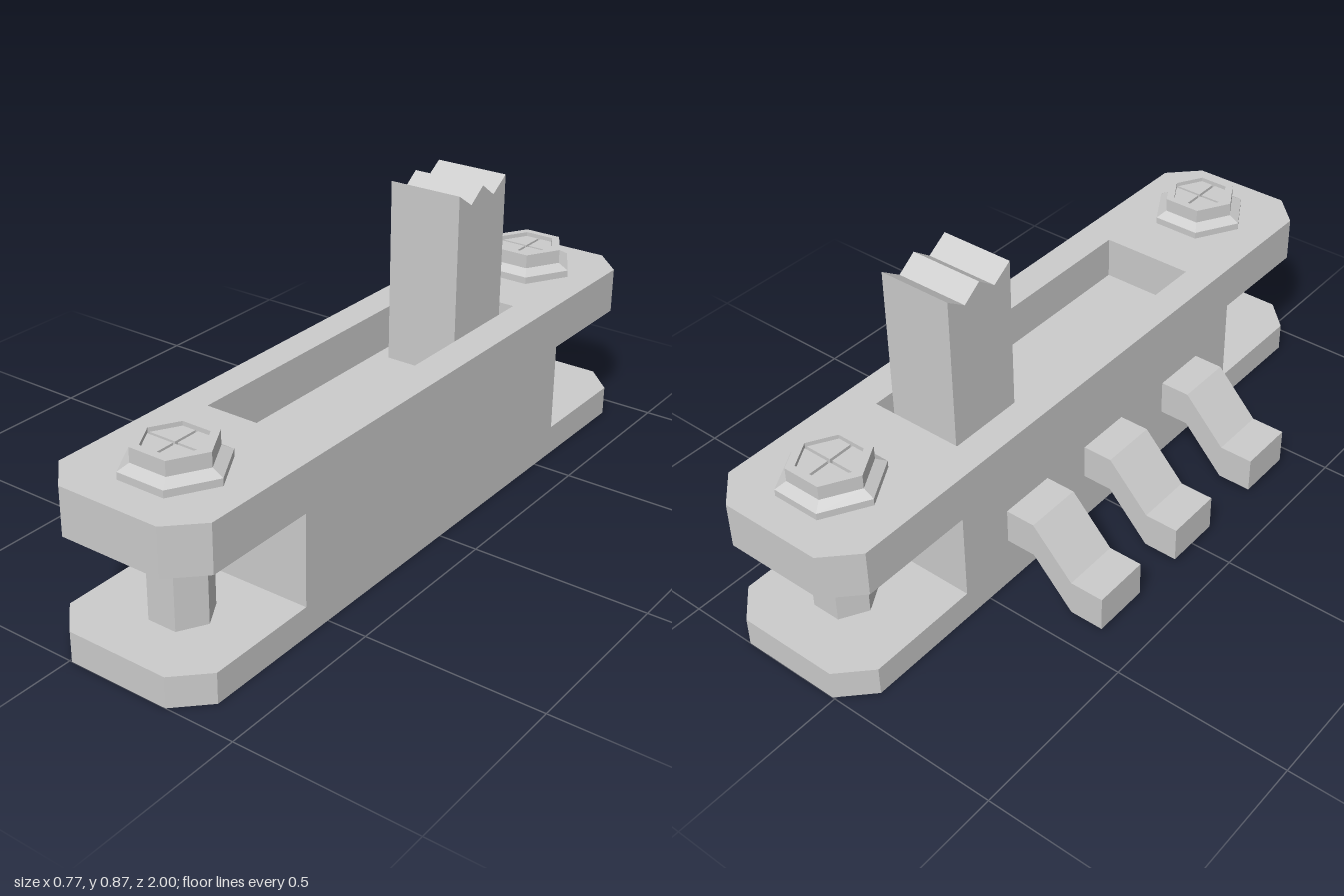
import * as THREE from 'three';

const mat = new THREE.MeshStandardMaterial({ color: 0xcccccc, flatShading: true, side: THREE.DoubleSide });
const X0 = -0.077, X1 = 0.387, TOP = 0.475, MID = 0.587, CHAMFER = 0.084;
const LOW = 0.085, HIGH = 0.343, BOLT_X = 0.163, FLOOR = 0.35;

const vectors = (pts) => pts.map(([x, y]) => new THREE.Vector2(x, y));
const shapeOf = (pts) => new THREE.Shape(vectors(pts));
const hexPoints = (r, x = 0, y = 0) => Array.from({ length: 6 }, (_, i) =>
  [x + r * Math.cos(i * Math.PI / 3), y + r * Math.sin(i * Math.PI / 3)]);
const extrude = (shape, depth) => new THREE.ExtrudeGeometry(shape, { depth, bevelEnabled: false });

// Plan shapes are drawn in (x, -z) and laid flat
const flat = (geo) => geo.rotateX(-Math.PI / 2);
const slab = (shape, h) => flat(extrude(shape, h));
const plate = (shape) => flat(new THREE.ShapeGeometry(shape));

// Thin strip: a polyline swept along z
function ribbon(pts, depth) {
  const pos = [];
  for (let i = 0; i + 1 < pts.length; i++) {
    const [a, b] = [pts[i], pts[i + 1]];
    pos.push(...a, 0, ...b, 0, ...b, depth, ...a, 0, ...b, depth, ...a, depth);
  }
  const geo = new THREE.BufferGeometry();
  geo.setAttribute('position', new THREE.Float32BufferAttribute(pos, 3));
  geo.computeVertexNormals();
  return geo;
}
const fence = (pts, h) => flat(ribbon(pts, h));

function add(parent, name, geo, x = 0, y = 0, z = 0) {
  const m = new THREE.Mesh(geo, mat);
  m.name = name;
  m.position.set(x, y, z);
  parent.add(m);
}

// Six-sided prism with corners on the x axis
const hex = (rTop, rBottom, h, open = false) =>
  new THREE.CylinderGeometry(rTop, rBottom, h, 6, 1, open).rotateY(Math.PI / 6);

// Chamfered end outline, from one long side round to the other
const endOutline = (s) => [[X1, s * MID], [X1, s * (1 - CHAMFER)], [X1 - CHAMFER, s],
  [X0 + CHAMFER, s], [X0, s * (1 - CHAMFER)], [X0, s * MID]];

function makeBolt() {
  const g = new THREE.Group();
  g.name = 'bolt';
  add(g, 'boltShaft', hex(0.085, 0.085, TOP, true), 0, TOP / 2);
  add(g, 'washer', hex(0.141, 0.141, 0.02), 0, TOP + 0.01);
  add(g, 'boltCollar', hex(0.11, 0.141, 0.017), 0, TOP + 0.0285);
  const rim = shapeOf(hexPoints(0.11));
  rim.holes.push(new THREE.Path(vectors(hexPoints(0.085))));
  add(g, 'headRim', slab(rim, 0.04), 0, 0.512);
  // Recessed face divided by a cross slot
  const r = 0.085, k = r * Math.sqrt(3) / 2, w = 0.004;
  for (const sx of [-1, 1]) for (const sz of [-1, 1]) {
    const quarter = shapeOf([[sx * w, sz * w], [sx * (r - w * 0.577), sz * w], [sx * r / 2, sz * k], [sx * w, sz * k]]);
    add(g, 'headFace', slab(quarter, 0.028), 0, 0.512);
  }
  return g;
}

// Bent terminal: a channel open underneath and at its inner end
function makeTerminal() {
  const g = new THREE.Group();
  g.name = 'terminal';
  const width = 0.166;
  const upper = [[-0.386, 0.016], [-0.386, 0.12], [-0.287, 0.12], [-0.164, 0.251], [0.09, 0.251]];
  const slope = [[-0.164, 0.148], [-0.287, 0.016]];
  const side = shapeOf([...upper, [0.09, 0.148], ...slope]);
  for (const z of [0, width]) add(g, 'terminalSide', new THREE.ShapeGeometry(side), 0, 0, z);
  add(g, 'terminalTop', ribbon(upper, width));
  add(g, 'terminalSlope', ribbon(slope, width));
  return g;
}

export function createModel() {
  const model = new THREE.Group();
  model.name = 'slideControl';

  // Housing shell, open underneath
  const body = new THREE.Group();
  body.name = 'housing';
  model.add(body);
  for (const x of [X0, X1]) add(body, 'sideWall', fence([[x, -MID], [x, MID]], TOP));

  // Deck with a sunken slot
  const slot = [[0.012, -0.495], [0.012, 0.498], [0.29, 0.498], [0.29, -0.495]];
  const deck = shapeOf([...endOutline(1), ...endOutline(-1).reverse()]);
  deck.holes.push(new THREE.Path(vectors(slot)));
  add(body, 'deck', plate(deck), 0, TOP);
  add(body, 'slotWall', fence([...slot, slot[0]], TOP - FLOOR), 0, FLOOR);
  add(body, 'slotFloor', plate(shapeOf(slot)), 0, FLOOR);

  // Flanges, end walls and bolts; plan sign s is +1 at the back
  for (const s of [-1, 1]) {
    const outline = endOutline(s);
    const boltZ = s > 0 ? 0.783 : 0.779;
    const ledge = shapeOf(outline);
    ledge.holes.push(new THREE.Path(vectors(hexPoints(0.085, BOLT_X, s * boltZ))));
    add(body, 'lowerFlange', plate(ledge), 0, LOW);
    add(body, 'lowerFlangeRim', fence(outline, LOW));
    add(body, 'upperFlange', plate(ledge), 0, HIGH);
    add(body, 'upperFlangeRim', fence(outline, TOP - HIGH), 0, HIGH);
    add(body, 'endWall', fence([[X0, s * MID], [X1, s * MID]], HIGH - LOW), 0, LOW);
    const bolt = makeBolt();
    bolt.position.set(BOLT_X, 0, -s * boltZ);
    model.add(bolt);
  }

  // Sliding lever with a notched tip
  const lever = shapeOf([[-0.457, FLOOR], [-0.227, FLOOR], [-0.227, 0.87], [-0.287, 0.83],
    [-0.342, 0.87], [-0.397, 0.83], [-0.457, 0.87]]);
  add(model, 'lever', extrude(lever, 0.215).rotateY(-Math.PI / 2), 0.269);

  // Row of terminals along the right side
  for (const z of [-0.42, -0.094, 0.266]) {
    const terminal = makeTerminal();
    terminal.position.z = z;
    model.add(terminal);
  }

  return model;
}
